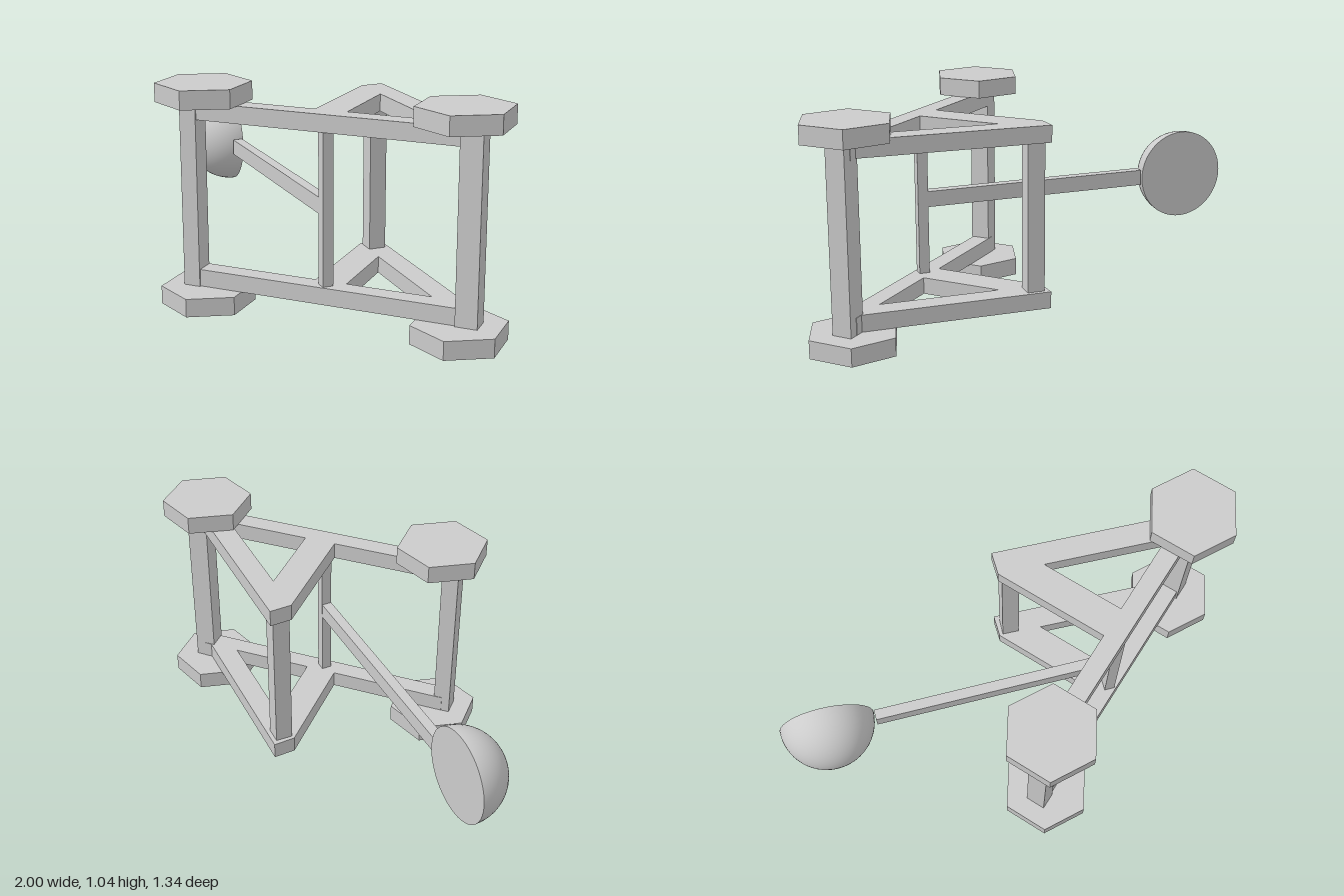
import * as THREE from 'three';

export function createModel() {
  const model = new THREE.Group();
  const material = new THREE.MeshStandardMaterial({ color: 0xcccccc, flatShading: true });
  const smooth = new THREE.MeshStandardMaterial({ color: 0xcccccc });

  const add = (name, geometry, x, y, z, turn = 0, parent = model, mat = material) => {
    const mesh = new THREE.Mesh(geometry, mat);
    mesh.name = name;
    mesh.position.set(x, y, z);
    mesh.rotation.y = turn;
    parent.add(mesh);
    return mesh;
  };

  const midY = 0.52;
  const axleZ = 0.45;

  // Hexagonal wheels, a pair on each axle
  for (const x of [-0.4, 0.812]) {
    for (const side of [-1, 1]) {
      add('wheel', new THREE.CylinderGeometry(0.217, 0.217, 0.086, 6), x, midY + side * 0.477, axleZ);
    }
  }

  // Square axles
  add('rearAxle', new THREE.BoxGeometry(0.08, 0.87, 0.095), -0.46, midY, axleZ);
  add('frontAxle', new THREE.BoxGeometry(0.1, 0.87, 0.095), 0.855, midY, axleZ);

  // Side frames: rail, upright and diagonal brace in one outline (x, z)
  const outline = new THREE.Shape([
    [-0.46, 0.49], [-0.46, 0.4], [0.12, 0.4], [0.12, -0.15], [0.19, -0.23],
    [0.82, 0.4], [0.86, 0.4], [0.86, 0.49],
  ].map(([x, z]) => new THREE.Vector2(x, z)));
  outline.holes.push(new THREE.Path([[0.27, 0], [0.27, 0.4], [0.67, 0.4]]
    .map(([x, z]) => new THREE.Vector2(x, z))));
  const sideGeometry = new THREE.ExtrudeGeometry(outline, { depth: 0.08, bevelEnabled: false });
  sideGeometry.translate(0, 0, -0.04).rotateX(Math.PI / 2);
  for (const side of [-1, 1]) add('sideFrame', sideGeometry, 0, midY + side * 0.393, 0);

  // Diamond-set crossbar between the tips of the uprights
  add('topCrossbar', new THREE.BoxGeometry(0.082, 0.73, 0.082), 0.193, midY, -0.14, Math.PI / 4);

  // Throwing arm with its pivot bar
  const start = new THREE.Vector3(-0.642, 0.533, -0.342);
  const end = new THREE.Vector3(0.19, 0.533, 0.447);
  const along = end.clone().sub(start);
  const turn = -Math.atan2(along.z, along.x);
  const centre = start.clone().add(end).multiplyScalar(0.5);
  add('throwingArm', new THREE.BoxGeometry(along.length(), 0.076, 0.049),
    centre.x, centre.y, centre.z, turn);
  add('pivotBar', new THREE.BoxGeometry(0.05, 0.73, 0.05), end.x, midY, end.z, turn);

  // Solid half-sphere bowl, flat face in line with the arm
  const bowl = new THREE.Group();
  bowl.name = 'bowl';
  bowl.position.set(-0.783, 0.533, -0.519);
  bowl.quaternion.setFromUnitVectors(
    new THREE.Vector3(0, 1, 0),
    new THREE.Vector3(-along.z, 0, along.x).normalize());
  add('bowlDome', new THREE.SphereGeometry(0.22, 48, 16, 0, Math.PI * 2, 0, Math.PI / 2),
    0, 0, 0, 0, bowl, smooth);
  add('bowlFace', new THREE.CircleGeometry(0.22, 48).rotateX(Math.PI / 2), 0, 0, 0, 0, bowl);
  model.add(bowl);

  return model;
}
